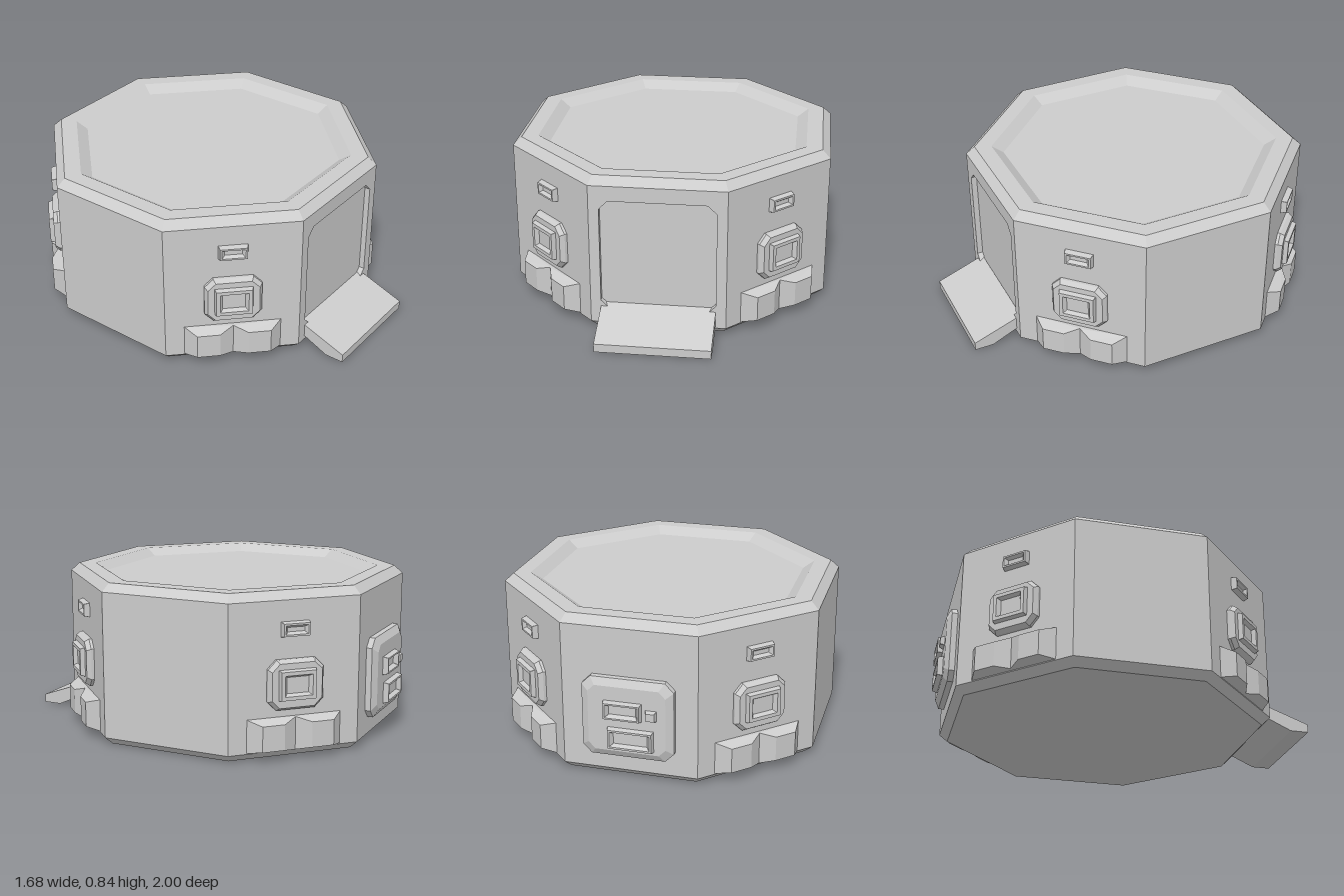
import * as THREE from 'three';

const APOTHEM = 0.84, CENTRE_Z = -0.0775;

// Skin a list of closed rings (counter-clockwise seen from +z); optional caps and one skipped side
function loft(rings, { capStart = false, capEnd = true, skip = -1 } = {}) {
  const pos = [];
  const tri = (a, b, c) => pos.push(...a, ...b, ...c);
  const n = rings[0].length;
  for (let r = 0; r < rings.length - 1; r++) {
    const a = rings[r], b = rings[r + 1];
    for (let i = 0; i < n; i++) {
      if (i === skip) continue;
      const j = (i + 1) % n;
      tri(a[i], a[j], b[j]);
      tri(a[i], b[j], b[i]);
    }
  }
  const first = rings[0], last = rings[rings.length - 1];
  for (let i = 1; i < n - 1; i++) {
    if (capStart) tri(first[0], first[i + 1], first[i]);
    if (capEnd) tri(last[0], last[i], last[i + 1]);
  }
  const g = new THREE.BufferGeometry();
  g.setAttribute('position', new THREE.Float32BufferAttribute(pos, 3));
  g.computeVertexNormals();
  return g;
}

// Regular octagon ring; its last side faces the front
function octagon(apothem, h) {
  const r = apothem / Math.cos(Math.PI / 8);
  return Array.from({ length: 8 }, (_, i) => {
    const a = (-67.5 + 45 * i) * Math.PI / 180;
    return [r * Math.cos(a), r * Math.sin(a), h];
  });
}

// Rectangle ring with cut corners
function cutRect(w, h, c, z) {
  return [[w - c, -h], [w, -h + c], [w, h - c], [w - c, h],
    [-w + c, h], [-w, h - c], [-w, -h + c], [-w + c, -h]].map(([x, y]) => [x, y, z]);
}

export function createModel() {
  const model = new THREE.Group();
  model.name = 'octagonalModule';
  const grey = new THREE.MeshStandardMaterial({ color: 0xcccccc });
  grey.name = 'light grey';

  const add = (parent, name, geo, x = 0, y = 0, z = 0) => {
    const m = new THREE.Mesh(geo, grey);
    m.name = name;
    m.position.set(x, y, z);
    parent.add(m);
    return m;
  };

  // Group lying on one wall: local x along the wall, z outward
  const wallGroup = (name, degrees) => {
    const pivot = new THREE.Group(), g = new THREE.Group();
    pivot.name = name;
    pivot.position.z = CENTRE_Z;
    pivot.rotation.y = degrees * Math.PI / 180;
    g.name = name + 'Surface';
    g.position.z = APOTHEM;
    pivot.add(g);
    model.add(pivot);
    return g;
  };

  // Hull: chamfered base, walls open at the door side, chamfered roof with a sunken floor
  const hull = new THREE.Group();
  hull.name = 'hull';
  hull.position.z = CENTRE_Z;
  hull.rotation.x = -Math.PI / 2;
  model.add(hull);
  add(hull, 'base', loft([octagon(0.797, 0), octagon(APOTHEM, 0.04)], { capStart: true, capEnd: false }));
  add(hull, 'walls', loft([octagon(APOTHEM, 0.04), octagon(APOTHEM, 0.8)], { capEnd: false, skip: 7 }));
  add(hull, 'roof', loft([octagon(APOTHEM, 0.8), octagon(0.797, 0.842),
    octagon(0.7125, 0.842), octagon(0.655, 0.802)]));

  // Front wall with the doorway cut out
  const front = wallGroup('frontWall', 0);
  const half = APOTHEM * Math.tan(Math.PI / 8);
  const wall = new THREE.Shape([[-half, 0.04], [half, 0.04], [half, 0.8], [-half, 0.8]]
    .map(p => new THREE.Vector2(...p)));
  const doorY = 0.42, doorW = 0.295, doorH = 0.3, cut = 0.045;
  wall.holes.push(new THREE.Path(cutRect(doorW, doorH, cut, 0)
    .map(([x, y]) => new THREE.Vector2(x, y + doorY)).reverse()));
  add(front, 'doorWall', new THREE.ShapeGeometry(wall));
  add(front, 'door', loft([cutRect(doorW, doorH, cut, 0), cutRect(doorW, doorH, cut, -0.03)]), 0, doorY);

  // Entry ramp
  const profile = new THREE.Shape([[0.9, 0], [1, 0], [1, 0.045], [0.735, 0.142], [0.735, 0.075]]
    .map(p => new THREE.Vector2(...p)));
  const ramp = new THREE.ExtrudeGeometry(profile, { depth: 2 * doorW, bevelEnabled: false });
  ramp.rotateY(-Math.PI / 2);
  add(model, 'ramp', ramp, doorW);

  // Raised frame with a sloped recess
  const frame = (w, h, rim, z0, z1, floor) => loft([
    cutRect(w, h, 0.001, z0), cutRect(w - 0.008, h - 0.008, 0.001, z1),
    cutRect(w - rim, h - rim, 0.001, z1), cutRect(w - rim - 0.015, h - rim - 0.012, 0.001, floor)]);

  // Half of the double bumper, mirrored by s
  const bumper = s => {
    const ring = (inner, outer, low, high, zi, zo) => {
      const p = [[s * inner, low, zi], [s * outer, low, zo], [s * outer, high, zo], [s * inner, high, zi]];
      return s > 0 ? p : p.reverse();
    };
    return loft([ring(0, 0.25, 0.045, 0.215, -0.02, -0.02), ring(0, 0.25, 0.045, 0.215, 0.02, 0),
      ring(0.073, 0.19, 0.06, 0.192, 0.062, 0.062)]);
  };

  // Equipment on the four diagonal walls
  for (const angle of [45, 135, 225, 315]) {
    const g = wallGroup('diagonalWallEquipment', angle);
    for (const s of [-1, 1]) add(g, 'bumper', bumper(s));
    add(g, 'windowBase', loft([cutRect(0.147, 0.127, 0.045, -0.01), cutRect(0.147, 0.127, 0.045, 0.015),
      cutRect(0.132, 0.112, 0.04, 0.038)]), 0, 0.38);
    add(g, 'windowFrame', frame(0.1, 0.08, 0.027, 0.03, 0.062, 0.042), 0, 0.383);
    add(g, 'lampFrame', frame(0.077, 0.04, 0.017, -0.01, 0.03, 0.012), 0, 0.655);
  }

  // Rear control panel; local x is reversed relative to the model's x
  const rear = wallGroup('rearPanel', 180);
  add(rear, 'panelBase', loft([cutRect(0.235, 0.21, 0.045, -0.01), cutRect(0.235, 0.21, 0.045, 0.03),
    cutRect(0.198, 0.173, 0.035, 0.052)]), 0, 0.34);
  add(rear, 'upperSlot', frame(0.1, 0.05, 0.016, 0.045, 0.08, 0.055), -0.02, 0.39);
  add(rear, 'lowerSlot', frame(0.12, 0.058, 0.018, 0.045, 0.08, 0.058), 0.02, 0.24);
  add(rear, 'button', loft([cutRect(0.032, 0.03, 0.002, 0.045), cutRect(0.022, 0.02, 0.002, 0.075)]), 0.125, 0.38);

  return model;
}
